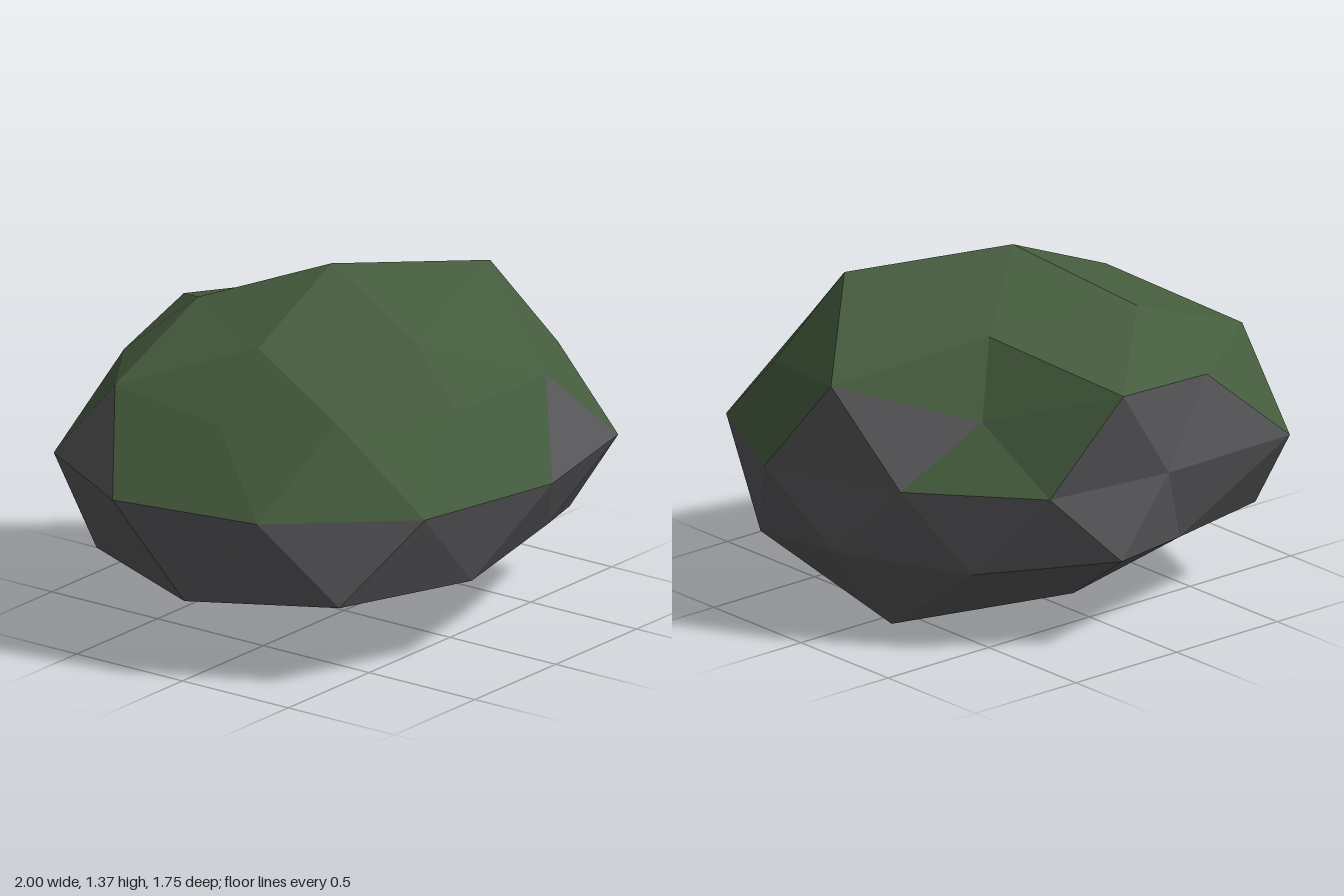
import * as THREE from 'three';

// Rings of a once-divided icosahedron, pushed out of shape into a boulder
const MID = 0.65;
const crown = [0, 1.37, -0.06];
const shoulder = [[0.55, 1.3, 0.27], [-0.07, 1.17, 0.39], [-0.48, 1.17, -0.04], [-0.22, 1.2, -0.52], [0.35, 1.16, -0.33]];
const upperCorner = [[0.76, 0.95, 0.43], [-0.09, 0.95, 0.6], [-0.72, 0.93, -0.04], [-0.34, 0.97, -0.78], [0.48, 0.88, -0.44]];
const upperEdge = [[0.92, 1.03, -0.08], [0.37, 0.98, 0.67], [-0.53, 0.97, 0.37], [-0.75, 1.0, -0.51], [0.16, 1.03, -0.88]];
const waist = [[0.8, -0.34], [1, 0.21], [0.74, 0.73], [0.15, 0.87], [-0.47, 0.74],
  [-0.89, 0.27], [-1, -0.33], [-0.71, -0.83], [-0.1, -0.84], [0.43, -0.77]].map(([x, z]) => [x, MID, z]);
const lowerCorner = [[0.9, 0.36, -0.07], [0.38, 0.38, 0.67], [-0.71, 0.32, 0.52], [-0.72, 0.32, -0.62], [0.15, 0.36, -0.86]];
const lowerEdge = [[0.82, 0.28, 0.44], [-0.14, 0.31, 0.71], [-0.91, 0.28, -0.06], [-0.24, 0.33, -0.74], [0.6, 0.32, -0.52]];
const belly = [[0.61, 0, -0.07], [0.15, 0.16, 0.37], [-0.36, 0.17, 0.22], [-0.41, 0.15, -0.3], [0.09, 0.12, -0.51]];
const base = [0, 0.08, 0];

function facetedMesh(name, triangles, color) {
  const geometry = new THREE.BufferGeometry();
  geometry.setAttribute('position', new THREE.Float32BufferAttribute(triangles.flat(2), 3));
  geometry.computeVertexNormals();
  const mesh = new THREE.Mesh(geometry, new THREE.MeshStandardMaterial({ color, flatShading: true }));
  mesh.name = name;
  return mesh;
}

export function createModel() {
  const moss = [], stone = [];
  const flank = (bare, ...triangle) => (bare ? stone : moss).push(triangle);

  for (let k = 0; k < 5; k++) {
    const n = (k + 1) % 5;
    const w0 = waist[2 * k], w1 = waist[2 * k + 1], w2 = waist[(2 * k + 2) % 10];

    // mossy top
    moss.push(
      [shoulder[n], shoulder[k], crown],
      [upperEdge[n], upperCorner[k], shoulder[k]],
      [upperCorner[n], upperEdge[n], shoulder[n]],
      [upperEdge[n], shoulder[k], shoulder[n]],
    );

    // flanks above the waist, where some facets are bare stone
    flank(k !== 2, w1, w0, upperEdge[k]);
    flank(k === 3, w2, w1, upperCorner[k]);
    flank(false, w1, upperEdge[k], upperCorner[k]);
    flank(k >= 3, w2, upperCorner[k], upperEdge[n]);

    // stone underside
    stone.push(
      [w0, w1, lowerCorner[k]],
      [w1, w2, lowerEdge[k]],
      [w1, lowerEdge[k], lowerCorner[k]],
      [w2, lowerCorner[n], lowerEdge[k]],
      [lowerCorner[k], lowerEdge[k], belly[k]],
      [lowerEdge[k], lowerCorner[n], belly[n]],
      [lowerEdge[k], belly[n], belly[k]],
      [belly[k], belly[n], base],
    );
  }

  const boulder = new THREE.Group();
  boulder.name = 'mossyBoulder';
  boulder.add(facetedMesh('moss', moss, 0x455c3e), facetedMesh('stone', stone, 0x58575a));
  return boulder;
}
